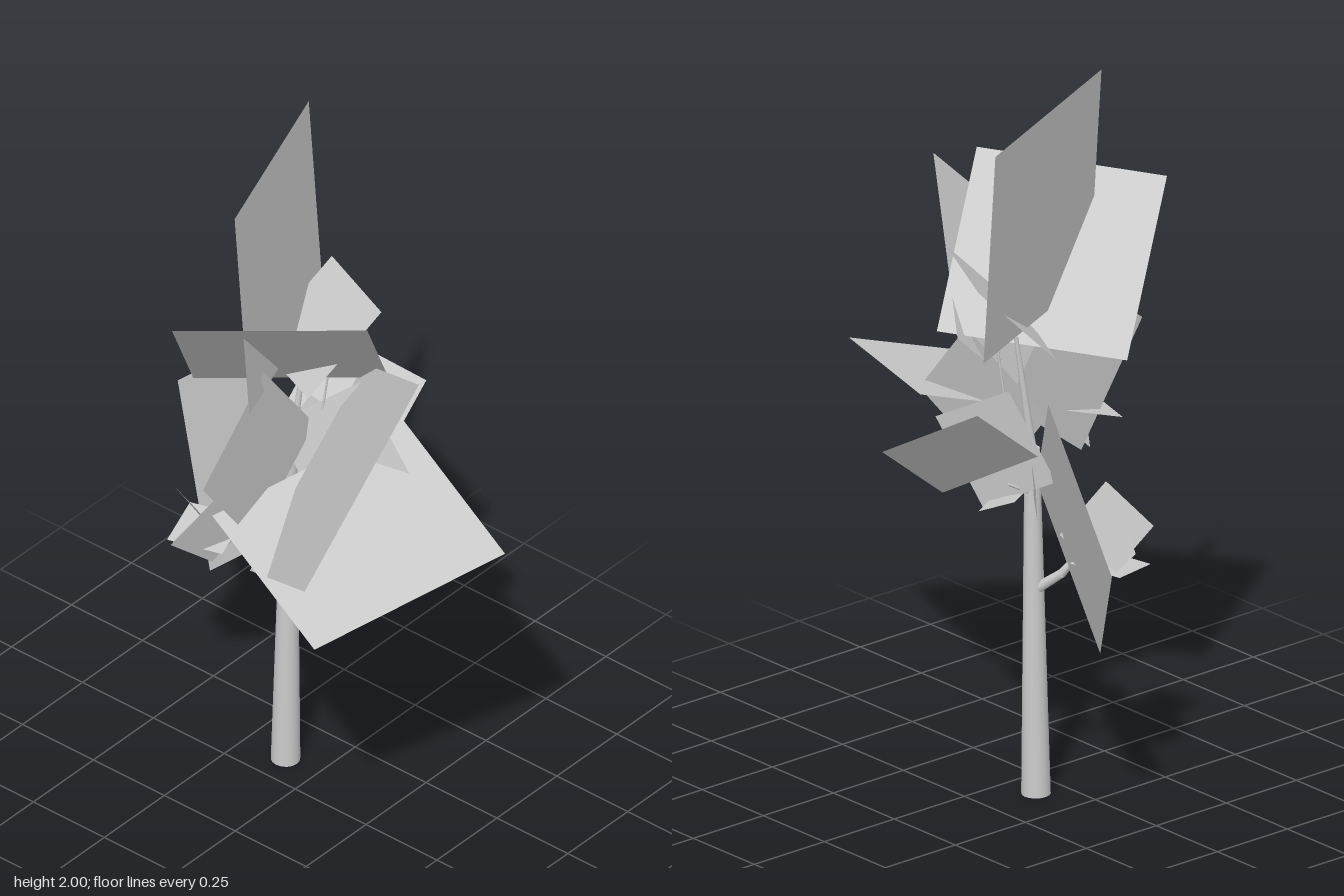
import * as THREE from 'three';

const material = new THREE.MeshStandardMaterial({ color: 0xcccccc, side: THREE.DoubleSide });

// Flat parallelogram leaf from three consecutive corners
function leafCard(name, a, b, c) {
  const d = a.map((v, i) => v + c[i] - b[i]);
  const geometry = new THREE.BufferGeometry();
  geometry.setAttribute('position', new THREE.Float32BufferAttribute([...a, ...b, ...c, ...d], 3));
  geometry.setIndex([0, 1, 2, 0, 2, 3]);
  geometry.computeVertexNormals();
  const mesh = new THREE.Mesh(geometry, material);
  mesh.name = name;
  return mesh;
}

// Tapered round limb between two points
function limb(name, from, to, r0, r1, sides = 12) {
  const a = new THREE.Vector3(...from), b = new THREE.Vector3(...to);
  const dir = b.clone().sub(a);
  const mesh = new THREE.Mesh(new THREE.CylinderGeometry(r1, r0, dir.length(), sides), material);
  mesh.position.copy(a).add(b).multiplyScalar(0.5);
  mesh.quaternion.setFromUnitVectors(new THREE.Vector3(0, 1, 0), dir.normalize());
  mesh.name = name;
  return mesh;
}

export function createModel() {
  const group = new THREE.Group();
  group.name = 'plant';

  // Trunk and branches
  group.add(
    limb('trunk', [0.09, 0, -0.11], [0.095, 1.0, -0.1], 0.04, 0.021, 16),
    limb('upperStem', [0.095, 1.0, -0.1], [0.14, 1.33, -0.085], 0.012, 0.006),
    limb('lowBranch', [0.09, 0.6, -0.12], [0.06, 0.65, -0.18], 0.016, 0.013, 8),
    limb('lowBranchTip', [0.06, 0.65, -0.18], [0.035, 0.71, -0.22], 0.013, 0.007, 8),
    limb('frontBranch', [0.095, 0.97, -0.1], [0.12, 1.1, -0.02], 0.009, 0.006, 8),
    limb('frontTwig', [0.12, 1.1, -0.02], [0.14, 1.32, 0.0], 0.004, 0.003, 6),
    limb('sideTwig', [0.095, 0.87, -0.11], [0.17, 0.91, -0.09], 0.007, 0.004, 6)
  );

  // Crown leaves
  group.add(
    leafCard('topLeaf', [-0.205, 2.0, -0.04], [0.37, 1.965, -0.265], [0.36, 1.345, -0.205]),
    leafCard('crownLeaf', [-0.365, 1.675, -0.125], [-0.06, 1.71, 0.305], [0.235, 1.305, 0.13]),
    leafCard('smallCrownLeaf', [0.2, 1.545, 0.135], [0.33, 1.525, -0.15], [0.13, 1.305, -0.24]),
    leafCard('frontLeaf', [-0.075, 1.63, 0.5], [-0.54, 1.195, 0.49], [-0.23, 0.875, 0.035])
  );

  // Middle leaves
  group.add(
    leafCard('flatLeaf', [0.29, 1.135, 0.135], [0.065, 1.075, 0.685], [-0.46, 0.94, 0.457]),
    leafCard('backLeaf', [0.225, 1.225, -0.315], [0.32, 0.86, -0.685], [0.1, 0.49, -0.385]),
    leafCard('sideLeaf', [0.4, 1.21, -0.225], [0.535, 1.07, 0.01], [0.31, 0.89, 0.02]),
    leafCard('rightLeaf', [-0.39, 1.22, 0.005], [-0.15, 0.905, -0.02], [0.14, 1.12, -0.05]),
    leafCard('uprightLeaf', [0.165, 1.31, 0.09], [0.15, 1.07, 0.3], [0.07, 0.86, 0.06]),
    leafCard('innerLeaf', [0.17, 1.18, -0.09], [0.24, 1.06, 0.13], [0.175, 0.815, 0.01])
  );

  // Small leaves around the low branch and the side twig
  group.add(
    leafCard('lowLeaf', [-0.06, 0.9, -0.225], [-0.165, 0.765, -0.3], [-0.02, 0.64, -0.276]),
    leafCard('lowFlatLeaf', [-0.085, 0.7, -0.38], [0.07, 0.715, -0.43], [0.11, 0.72, -0.27]),
    leafCard('lowSteepLeaf', [-0.05, 0.82, -0.31], [0.03, 0.78, -0.45], [0.055, 0.7, -0.38]),
    leafCard('twigLeaf', [0.12, 0.88, -0.1], [0.2, 0.885, -0.15], [0.27, 0.855, -0.08]),
    leafCard('twigSteepLeaf', [0.14, 0.98, -0.15], [0.16, 0.92, -0.19], [0.12, 0.81, -0.15])
  );

  return group;
}
